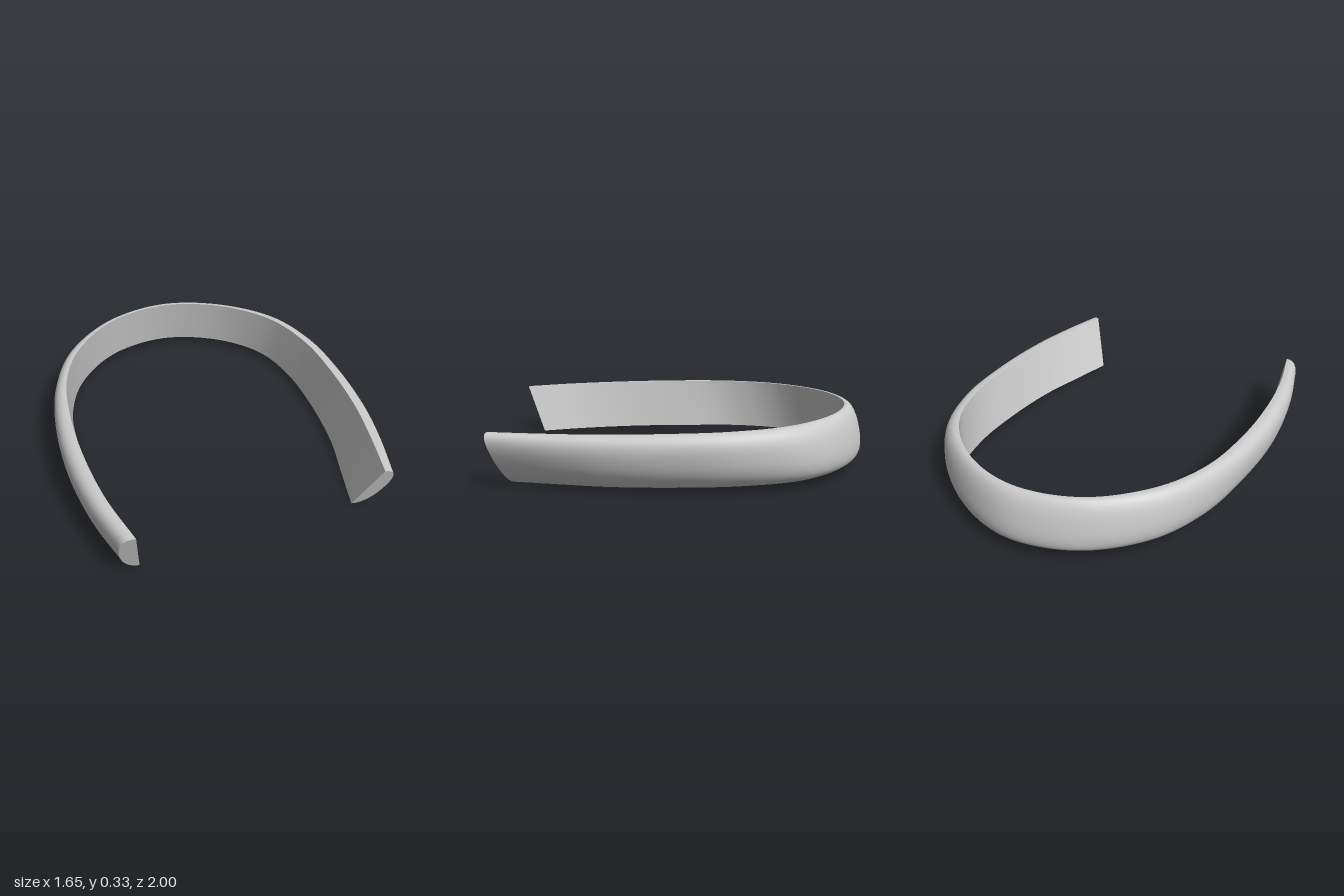
import * as THREE from 'three';

const STEPS = 112, ARC = 20;

// Rails [x, z], from the right tip round the back to the left tip
const topEdge = [[-.59, 1], [-.67, .72], [-.72, .4], [-.735, .05], [-.7, -.28], [-.58, -.56], [-.33, -.81], [0, -.905],
  [.33, -.82], [.59, -.6], [.71, -.32], [.75, 0], [.75, .35], [.72, .62], [.68, .87]];
const bottomEdge = [[-.565, .9], [-.635, .66], [-.69, .33], [-.7, -.02], [-.685, -.33], [-.575, -.62], [-.33, -.87], [0, -.965],
  [.33, -.87], [.56, -.66], [.655, -.38], [.68, -.05], [.665, .28], [.62, .53], [.575, .77]];
const outerCrest = [[-.665, .95], [-.75, .68], [-.805, .36], [-.812, .02], [-.77, -.3], [-.64, -.62], [-.36, -.88], [0, -.988],
  [.36, -.89], [.64, -.68], [.77, -.38], [.815, -.02], [.81, .31], [.77, .58], [.71, .84]];

// The band rises slightly toward the back and the right
function rail(points, height) {
  return new THREE.CatmullRomCurve3(points.map(([x, z]) =>
    new THREE.Vector3(x, height - 0.0265 * z - 0.0135 * x, z)));
}

// Surface through a grid of points; its front faces rows x columns
function gridSurface(rows, cols, pointAt) {
  const position = [], index = [];
  for (let i = 0; i <= rows; i++) {
    for (let j = 0; j <= cols; j++) {
      position.push(...pointAt(i / rows, j / cols).toArray());
      if (i === rows || j === cols) continue;
      const a = i * (cols + 1) + j, b = a + cols + 1;
      index.push(a, b, a + 1, b, b + 1, a + 1);
    }
  }
  const geometry = new THREE.BufferGeometry();
  geometry.setAttribute('position', new THREE.Float32BufferAttribute(position, 3));
  geometry.setIndex(index);
  geometry.computeVertexNormals();
  return geometry;
}

export function createModel() {
  const group = new THREE.Group();
  group.name = 'headband';
  const material = new THREE.MeshStandardMaterial({ color: 0xcccccc });
  const top = rail(topEdge, 0.308), bottom = rail(bottomEdge, 0.0285), crest = rail(outerCrest, 0.178);

  // D-shaped section: v runs top to bottom, depth 0 is the flat inside, 1 the dome
  function section(t, v, depth) {
    const upper = top.getPoint(t), lower = bottom.getPoint(t);
    const middle = upper.clone().add(lower).multiplyScalar(0.5);
    const c = Math.cos(Math.PI * v), s = Math.max(0, Math.sin(Math.PI * v));
    const along = Math.sign(c) * Math.abs(c) ** 0.85;
    const bulge = crest.getPoint(t).sub(middle).multiplyScalar(depth * s ** 0.85);
    return middle.clone().addScaledVector(upper.sub(middle), along).add(bulge);
  }

  function add(name, geometry) {
    const mesh = new THREE.Mesh(geometry, material);
    mesh.name = name;
    group.add(mesh);
  }

  add('outerDome', gridSurface(STEPS, ARC, (t, v) => section(t, v, 1)));
  add('innerFace', gridSurface(STEPS, 4, (t, v) => section(t, 1 - v, 0)));
  // Flat cut tips
  add('rightTip', gridSurface(1, ARC, (d, v) => section(0, v, d)));
  add('leftTip', gridSurface(1, ARC, (d, v) => section(1, v, 1 - d)));
  return group;
}
